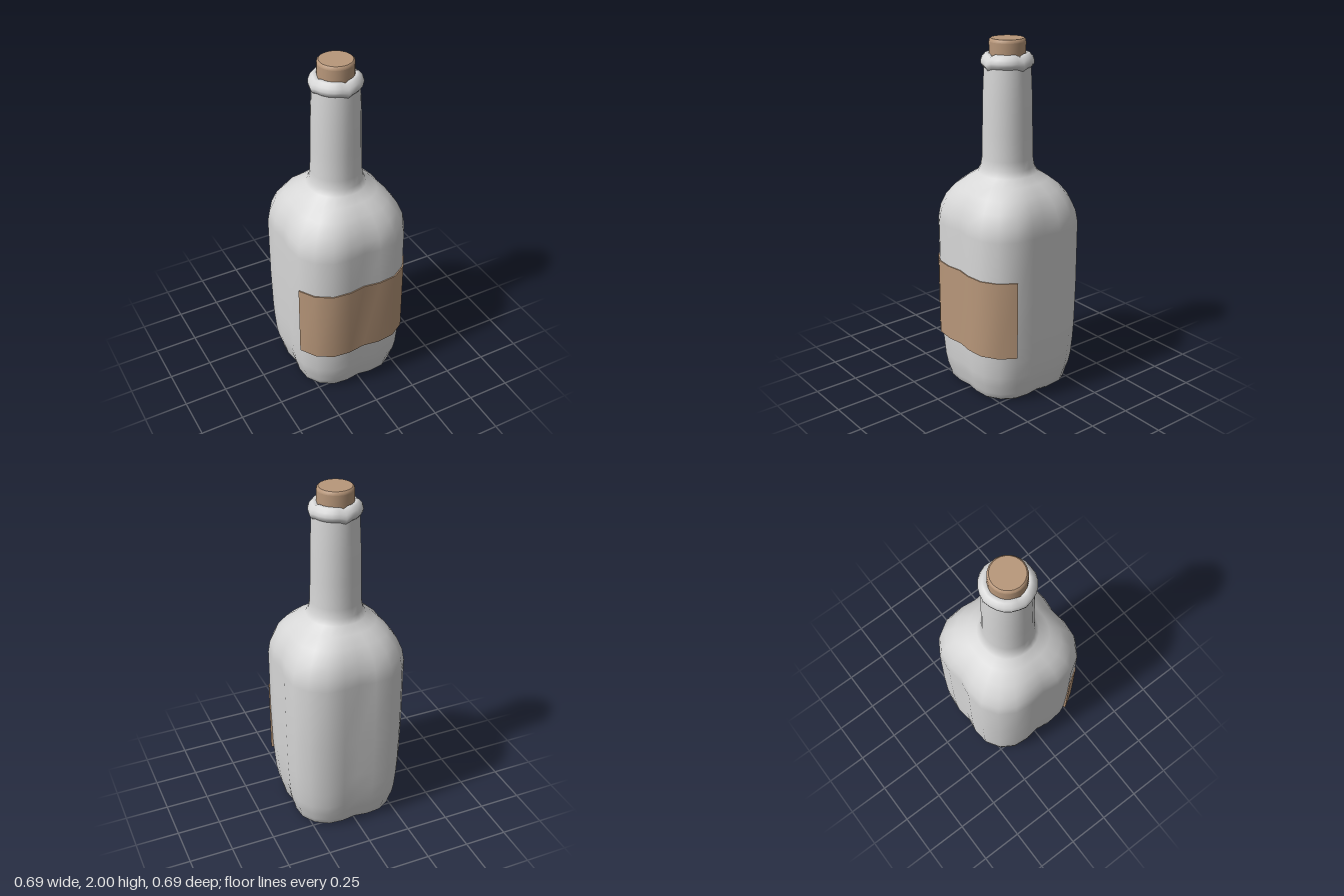
import * as THREE from 'three';

const SEGMENTS = 24;
const STEP = (Math.PI * 2) / SEGMENTS;
// Radius factors at 0, 15, 30 and 45 degrees: a rounded square with dented sides
const SQUARE = [0.96, 1.035, 1.122, 1.151];

function squareFactor(i) {
  const k = ((i % 6) + 6) % 6;
  return SQUARE[Math.min(k, 6 - k)];
}

// Point at column i for a half-width, height and squareness (0 = round)
function ringPoint(i, halfWidth, y, squareness, offset = 0) {
  const r = halfWidth * (1 + (squareFactor(i) - 1) * squareness) + offset;
  return [Math.sin(i * STEP) * r, y, Math.cos(i * STEP) * r];
}

// Skin a grid of points; rows run upward, columns run round the bottle
function loft(rows, closed) {
  const n = rows[0].length;
  const index = [];
  for (let r = 0; r < rows.length - 1; r++) {
    for (let c = 0; c < (closed ? n : n - 1); c++) {
      const d = (c + 1) % n;
      const a = r * n + c, b = r * n + d;
      index.push(a, b, b + n, a, b + n, a + n);
    }
  }
  const geometry = new THREE.BufferGeometry();
  geometry.setAttribute('position', new THREE.Float32BufferAttribute(rows.flat(2), 3));
  geometry.setIndex(index);
  geometry.computeVertexNormals();
  return geometry;
}

function fullRing(halfWidth, y, squareness, dip = 0) {
  return Array.from({ length: SEGMENTS }, (_, i) =>
    ringPoint(i, halfWidth, y - (i % 6 === 0 ? dip : 0), squareness));
}

export function createModel() {
  const glass = new THREE.MeshStandardMaterial({ color: 0xd6d6d6 });
  glass.name = 'paleGlass';
  const tan = new THREE.MeshStandardMaterial({ color: 0xb8977a, side: THREE.DoubleSide });
  tan.name = 'tan';

  const bottle = new THREE.Group();
  bottle.name = 'bottle';
  const add = (name, geometry, material) => {
    const mesh = new THREE.Mesh(geometry, material);
    mesh.name = name;
    bottle.add(mesh);
    return mesh;
  };

  // Body and neck: half-width, height, squareness (repeated row keeps the base edge sharp)
  const bodyProfile = [
    [0, 0, 1], [0.275, 0, 1], [0.275, 0, 1], [0.292, 0.015, 1], [0.298, 0.045, 1],
    [0.315, 0.1, 1], [0.325, 0.16, 1], [0.333, 0.26, 1], [0.338, 0.36, 1],
    [0.343, 0.6, 1], [0.344, 0.98, 1], [0.335, 1.05, 0.95], [0.31, 1.12, 0.85],
    [0.27, 1.18, 0.65], [0.215, 1.23, 0.4], [0.165, 1.265, 0.15], [0.15, 1.3, 0],
    [0.142, 1.35, 0], [0.139, 1.5, 0], [0.136, 1.68, 0], [0.128, 1.86, 0],
  ];
  add('body', loft(bodyProfile.map((p) => fullRing(...p)), true), glass);

  // Rolled lip, dipping slightly at the middle of each side
  const lipProfile = [
    [0.12, 1.848], [0.132, 1.85], [0.143, 1.865], [0.146, 1.88],
    [0.139, 1.9], [0.122, 1.92], [0.106, 1.924], [0.09, 1.915],
  ];
  add('lip', loft(lipProfile.map(([w, y]) => fullRing(w, y, 0, 0.012)), true), glass);

  // Cork with a softly bevelled top
  const corkProfile = [
    [0, 1.86], [0.1, 1.86], [0.1, 1.86], [0.1, 1.982], [0.1, 1.982],
    [0.098, 1.993], [0.09, 2], [0.09, 2], [0, 2],
  ];
  add('cork', loft(corkProfile.map(([w, y]) => fullRing(w, y, 0)), true), tan);

  // Label wrapped round the front, with a thin rim on every edge
  const columns = [[-4, 0], [-4, 1], [-4, 1]];
  for (let i = -3; i <= 3; i++) columns.push([i, 1]);
  columns.push([4, 1], [4, 1], [4, 0]);
  const labelRows = [
    [0.3, 0], [0.3, 1], [0.3, 1], [0.75, 1], [0.75, 1], [0.75, 0],
  ];
  const label = loft(labelRows.map(([y, out]) =>
    columns.map(([i, show]) => ringPoint(i, 0.344, y, 1, out && show ? 0.006 : -0.01))), false);
  add('label', label, tan);

  // Offset so that the label's thickness is balanced front to back
  bottle.position.z = -0.004;
  const model = new THREE.Group();
  model.name = 'corkedBottle';
  model.add(bottle);
  return model;
}
